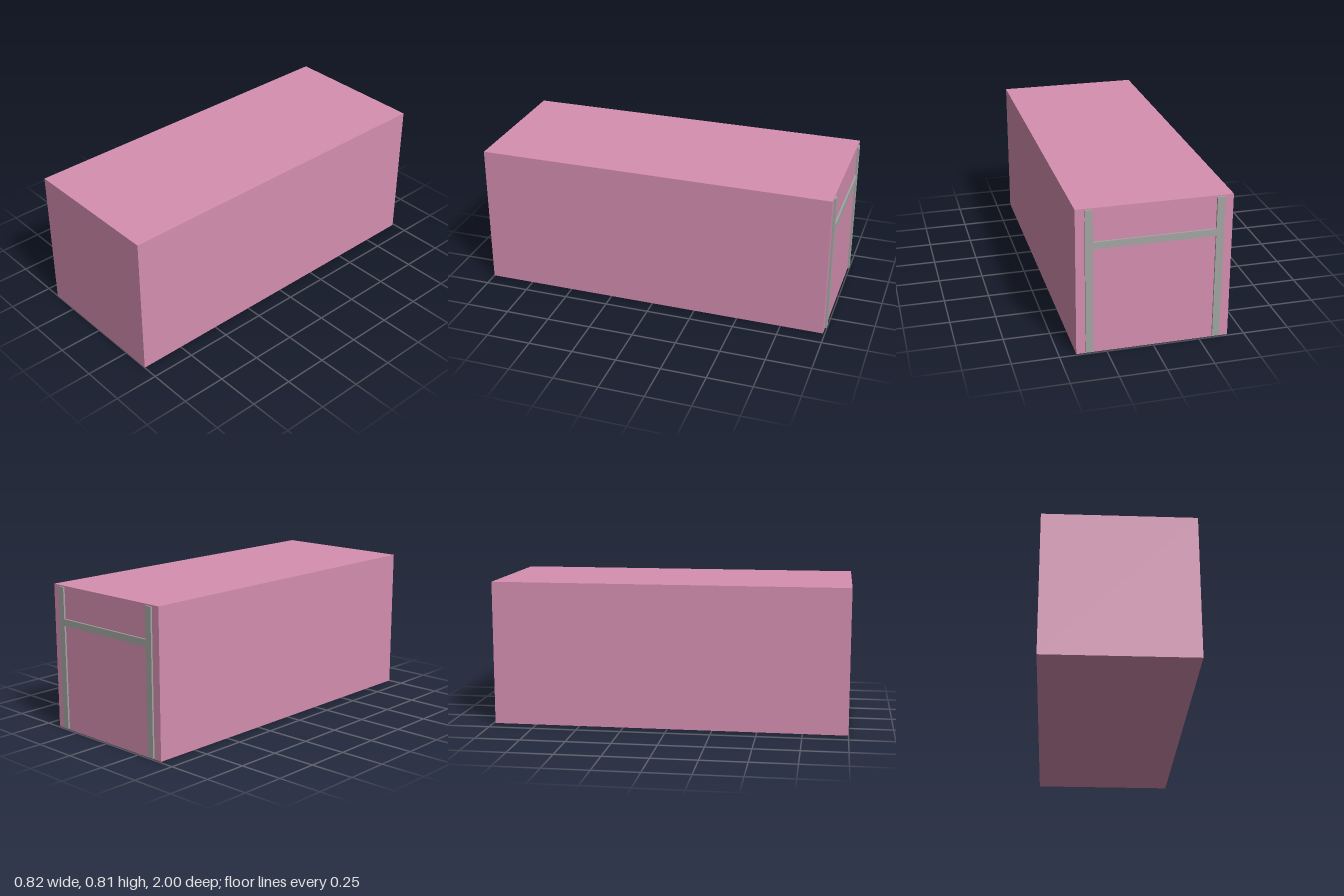
import * as THREE from 'three';

const BACK = -0.99; // z of the block's rear face
const BAR_DEPTH = 0.01;

export function createModel() {
  const model = new THREE.Group();
  model.name = 'container';
  const pink = new THREE.MeshStandardMaterial({ color: 0xd58fb0 });
  const grey = new THREE.MeshStandardMaterial({ color: 0xa2a6a2 });

  const addBox = (name, size, position, material, parent = model) => {
    const mesh = new THREE.Mesh(new THREE.BoxGeometry(...size), material);
    mesh.name = name;
    mesh.position.set(...position);
    parent.add(mesh);
  };

  // Main block
  addBox('body', [0.82, 0.81, 1 - BACK], [0, 0.405, (1 + BACK) / 2], pink);

  // Thin H-shaped frame on the rear face
  const frame = new THREE.Group();
  frame.name = 'rearFrame';
  frame.position.z = BACK - BAR_DEPTH / 2;
  model.add(frame);
  for (const [side, name] of [[1, 'leftPost'], [-1, 'rightPost']]) {
    addBox(name, [0.04, 0.795, BAR_DEPTH], [side * 0.342, 0.405, 0], grey, frame);
  }
  addBox('crossbar', [0.644, 0.038, BAR_DEPTH], [0, 0.61, 0], grey, frame);

  return model;
}
